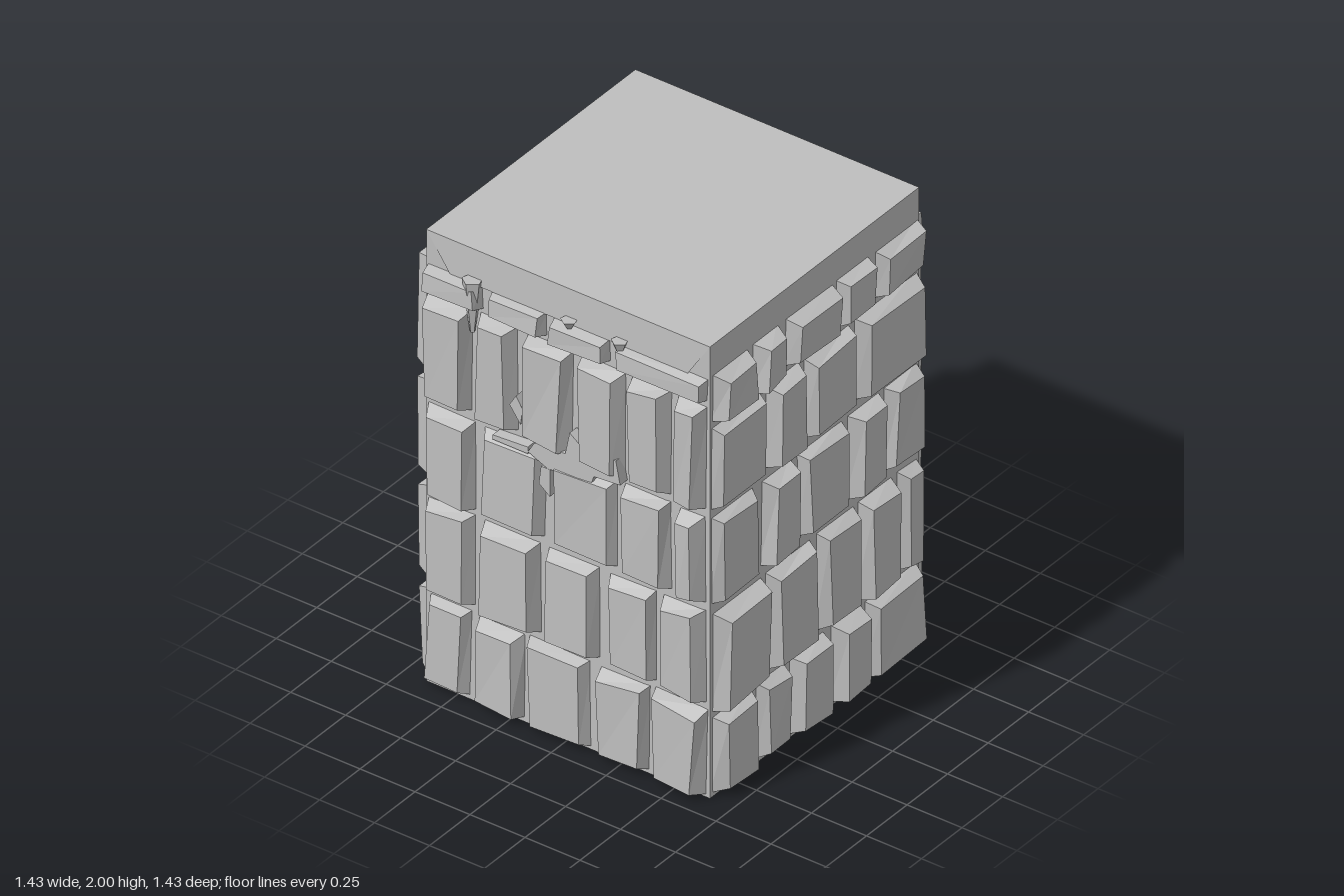
import * as THREE from 'three';

const stone = new THREE.MeshStandardMaterial({ color: 0xbfbfbf });
stone.name = 'stone grey';

let seed = 17;
function rand(a, b) {
  seed = (seed * 16807) % 2147483647;
  return a + (b - a) * (seed / 2147483647);
}

const HALF = 0.645;

// Each wall is a list of rows: [bottom, top, [left, right, left, right, ...]] seen from outside.
const front = [
  [0.01, 0.40, [-0.64, -0.43, -0.41, -0.19, -0.18, 0.11, 0.14, 0.38, 0.39, 0.64]],
  [0.42, 0.83, [-0.64, -0.41, -0.38, -0.11, -0.09, 0.15, 0.18, 0.41, 0.43, 0.64]],
  [0.85, 1.25, [-0.64, -0.41, -0.39, -0.09, -0.06, 0.23, 0.25, 0.48, 0.50, 0.64]],
  [1.27, 1.74, [-0.64, -0.43, -0.41, -0.22, -0.19, 0.03, 0.06, 0.27, 0.29, 0.48, 0.50, 0.64]],
  [1.75, 1.86, [-0.64, -0.38, -0.35, -0.09, -0.07, 0.20, 0.23, 0.64]],
];
const right = [
  [0.01, 0.36, [-0.64, -0.39, -0.37, -0.18, -0.16, 0.06, 0.09, 0.29, 0.30, 0.64]],
  [0.37, 0.82, [-0.64, -0.33, -0.31, -0.02, 0, 0.25, 0.26, 0.48, 0.50, 0.64]],
  [0.85, 1.24, [-0.64, -0.37, -0.34, -0.14, -0.11, 0.17, 0.19, 0.40, 0.42, 0.64]],
  [1.27, 1.64, [-0.64, -0.33, -0.31, -0.09, -0.08, 0.22, 0.24, 0.64]],
  [1.65, 1.87, [-0.64, -0.41, -0.39, -0.21, -0.19, 0.12, 0.13, 0.34, 0.36, 0.64]],
];
const back = [
  [0.01, 0.42, [-0.64, -0.34, -0.31, -0.07, -0.04, 0.17, 0.20, 0.43, 0.46, 0.64]],
  [0.44, 0.84, [-0.64, -0.42, -0.39, -0.11, -0.08, 0.18, 0.21, 0.44, 0.47, 0.64]],
  [0.86, 1.27, [-0.64, -0.40, -0.37, -0.11, -0.07, 0.17, 0.19, 0.43, 0.47, 0.64]],
  [1.29, 1.74, [-0.64, -0.40, -0.37, -0.11, -0.08, 0.16, 0.19, 0.45, 0.48, 0.64]],
  [1.76, 1.87, [-0.64, -0.37, -0.34, -0.10, -0.06, 0.15, 0.18, 0.38, 0.41, 0.64]],
];
const left = [
  [0.01, 0.42, [-0.64, -0.38, -0.35, -0.14, -0.11, 0.11, 0.14, 0.35, 0.38, 0.64]],
  [0.44, 0.87, [-0.64, -0.43, -0.40, -0.12, -0.09, 0.16, 0.19, 0.40, 0.43, 0.64]],
  [0.89, 1.34, [-0.64, -0.36, -0.33, -0.12, -0.09, 0.14, 0.17, 0.44, 0.47, 0.64]],
  [1.36, 1.87, [-0.64, -0.42, -0.39, -0.17, -0.14, 0.11, 0.14, 0.35, 0.38, 0.64]],
];

// A brick: a box whose outer face is unevenly inset and slightly skewed.
function brick(x0, x1, y0, y1) {
  const depth = rand(0.045, 0.065);
  const inset = Math.min(0.035, (y1 - y0) * 0.17);
  const corners = [0, 1, 2, 3].map(() => [
    rand(0.45, 1) * inset, rand(0.45, 1) * inset, rand(-0.006, 0.006), rand(0, 0.012), rand(0, 0.01),
  ]);
  const g = new THREE.BoxGeometry(2, 2, 2).toNonIndexed();
  const p = g.attributes.position;
  for (let i = 0; i < p.count; i++) {
    const sx = p.getX(i), sy = p.getY(i), outer = p.getZ(i) > 0;
    const [ix, iy, dz, jx, jy] = corners[(sx > 0 ? 1 : 0) + (sy > 0 ? 2 : 0)];
    const bx = (sx > 0 ? x1 : x0) - sx * jx;
    const by = (sy > 0 ? y1 : y0) - sy * jy;
    if (outer) p.setXYZ(i, bx - sx * ix, by - sy * iy, HALF + depth + dz);
    else p.setXYZ(i, bx, by, HALF - 0.01);
  }
  g.computeVertexNormals();
  const mesh = new THREE.Mesh(g, stone);
  mesh.name = 'brick';
  return mesh;
}

function wall(name, rows, angle) {
  const group = new THREE.Group();
  group.name = name;
  for (const [y0, y1, xs] of rows) {
    for (let i = 0; i < xs.length; i += 2) group.add(brick(xs[i], xs[i + 1], y0, y1));
  }
  group.rotation.y = angle;
  return group;
}

// An outline in the front plane, pushed out to a given depth.
function plate(name, points, z, depth) {
  const shape = new THREE.Shape(points.map(([x, y]) => new THREE.Vector2(x, y)));
  const g = new THREE.ExtrudeGeometry(shape, { depth, bevelEnabled: false });
  const mesh = new THREE.Mesh(g, stone);
  mesh.name = name;
  mesh.position.z = z;
  return mesh;
}

export function createModel() {
  const model = new THREE.Group();
  model.name = 'brickPillar';

  // Solid core with a plain band above the bricks
  const core = new THREE.Mesh(new THREE.BoxGeometry(HALF * 2, 2, HALF * 2), stone);
  core.name = 'core';
  core.position.y = 1;
  model.add(core);

  // Brick courses on the four sides
  model.add(wall('frontWall', front, 0));
  model.add(wall('rightWall', right, Math.PI / 2));
  model.add(wall('backWall', back, Math.PI));
  model.add(wall('leftWall', left, -Math.PI / 2));

  // Gently sloping front band, narrowing downward
  const band = new THREE.BufferGeometry();
  band.setAttribute('position', new THREE.Float32BufferAttribute([
    -HALF, 2, HALF, -0.53, 1.85, 0.653, 0.55, 1.85, 0.653, HALF, 2, HALF], 3));
  band.setIndex([0, 1, 2, 0, 2, 3]);
  band.computeVertexNormals();
  const bandMesh = new THREE.Mesh(band, stone);
  bandMesh.name = 'frontBand';
  model.add(bandMesh);

  // Worn fill across the broken bricks in the middle of the front
  model.add(plate('wornFill', [
    [-0.15, 1.24], [-0.06, 1.2], [0.14, 1.22], [0.15, 1.25], [0.27, 1.26],
    [0.25, 1.36], [0.08, 1.37], [0.04, 1.4], [0.02, 1.3], [-0.12, 1.29],
  ], HALF - 0.01, 0.055));
  model.add(plate('chip', [[-0.23, 1.42], [-0.18, 1.35], [-0.17, 1.42], [-0.2, 1.47]], HALF, 0.05));
  model.add(plate('chip', [[-0.1, 1.12], [-0.05, 1.08], [-0.05, 1.2], [-0.09, 1.2]], HALF, 0.045));
  model.add(plate('chip', [[-0.31, 1.23], [-0.15, 1.23], [-0.15, 1.26], [-0.31, 1.25]], HALF, 0.045));

  // Pointed drips hanging from the band
  for (const [x, length, radius] of [[-0.42, 0.23, 0.042], [0.02, 0.04, 0.035], [0.25, 0.06, 0.035]]) {
    const g = new THREE.CylinderGeometry(radius, radius * 0.25, length, 5).toNonIndexed();
    g.computeVertexNormals();
    const drip = new THREE.Mesh(g, stone);
    drip.name = 'drip';
    drip.position.set(x, 1.88 - length / 2, 0.665);
    model.add(drip);
  }
  return model;
}
